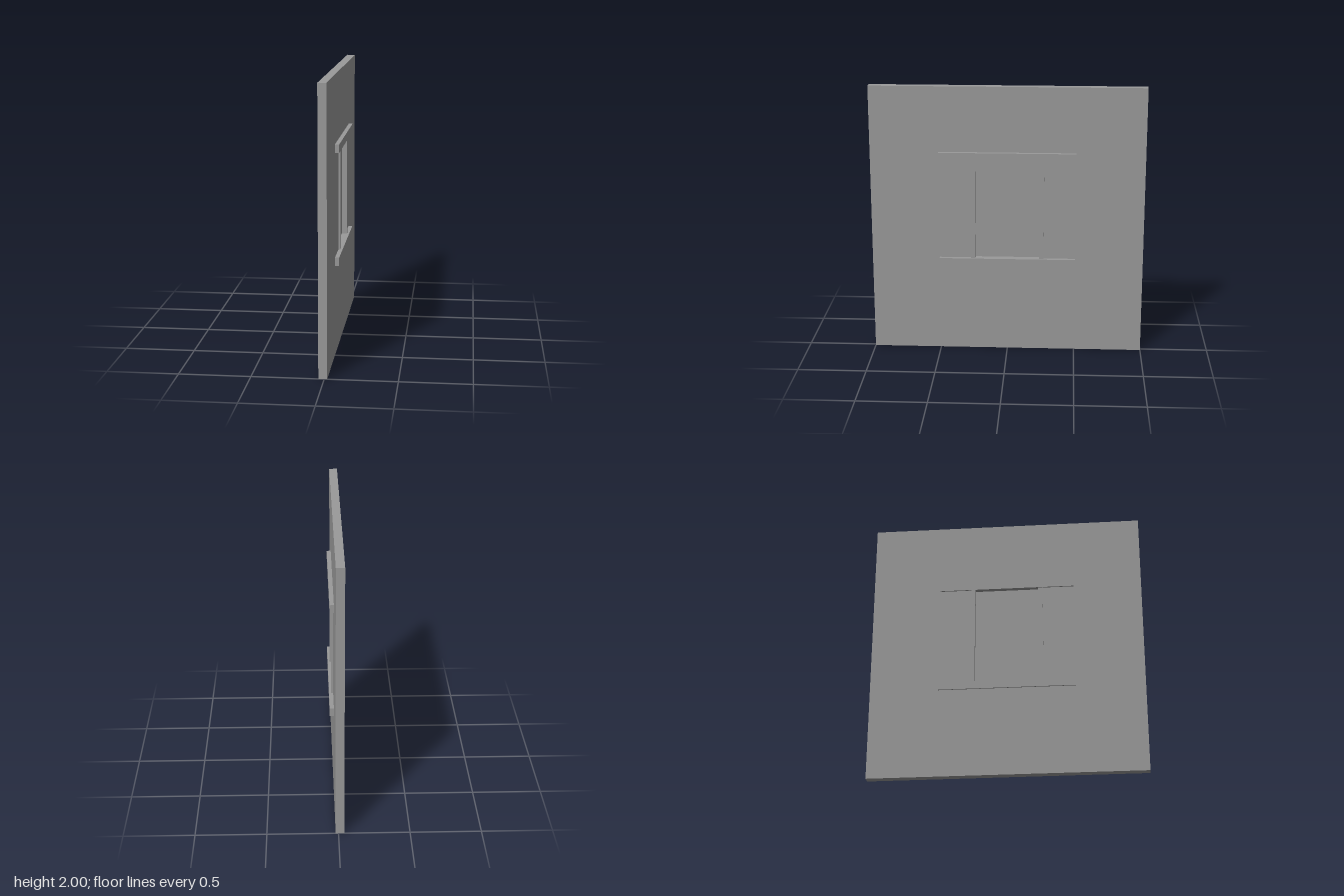
import * as THREE from 'three';

export function createModel() {
  const model = new THREE.Group();
  model.name = 'wallWithWindow';
  const grey = new THREE.MeshStandardMaterial({ color: 0x999999 });
  grey.name = 'plain grey';

  // Box given by its lower and upper limits on each axis
  const addBox = (name, [x0, x1], [y0, y1], [z0, z1]) => {
    const mesh = new THREE.Mesh(new THREE.BoxGeometry(x1 - x0, y1 - y0, z1 - z0), grey);
    mesh.position.set((x0 + x1) / 2, (y0 + y1) / 2, (z0 + z1) / 2);
    mesh.name = name;
    model.add(mesh);
  };

  const rectangle = (Type, w, y0, y1) => new Type([
    new THREE.Vector2(-w, y0), new THREE.Vector2(w, y0),
    new THREE.Vector2(w, y1), new THREE.Vector2(-w, y1),
  ]);

  // Wall panel with the window opening, turned to face sideways
  const outline = rectangle(THREE.Shape, 1, 0, 2);
  outline.holes.push(rectangle(THREE.Path, 0.25, 0.69, 1.49));
  const wall = new THREE.Mesh(
    new THREE.ExtrudeGeometry(outline, { depth: 0.06, bevelEnabled: false }), grey);
  wall.rotation.y = Math.PI / 2;
  wall.position.x = -0.04;
  wall.name = 'wall';
  model.add(wall);

  // Sill and lintel run past the opening on both faces
  addBox('sill', [-0.05, 0.05], [0.658, 0.718], [-0.5, 0.5]);
  addBox('lintel', [-0.05, 0.05], [1.46, 1.52], [-0.5, 0.5]);

  // Upright jambs between them
  for (const side of [-1, 1]) {
    const z = side * 0.2515;
    addBox(side > 0 ? 'frontJamb' : 'backJamb', [-0.046, 0.034], [0.718, 1.46], [z - 0.017, z + 0.017]);
  }

  // Thin pane in the middle of the opening
  addBox('pane', [-0.014, -0.006], [0.718, 1.46], [-0.235, 0.235]);

  return model;
}
